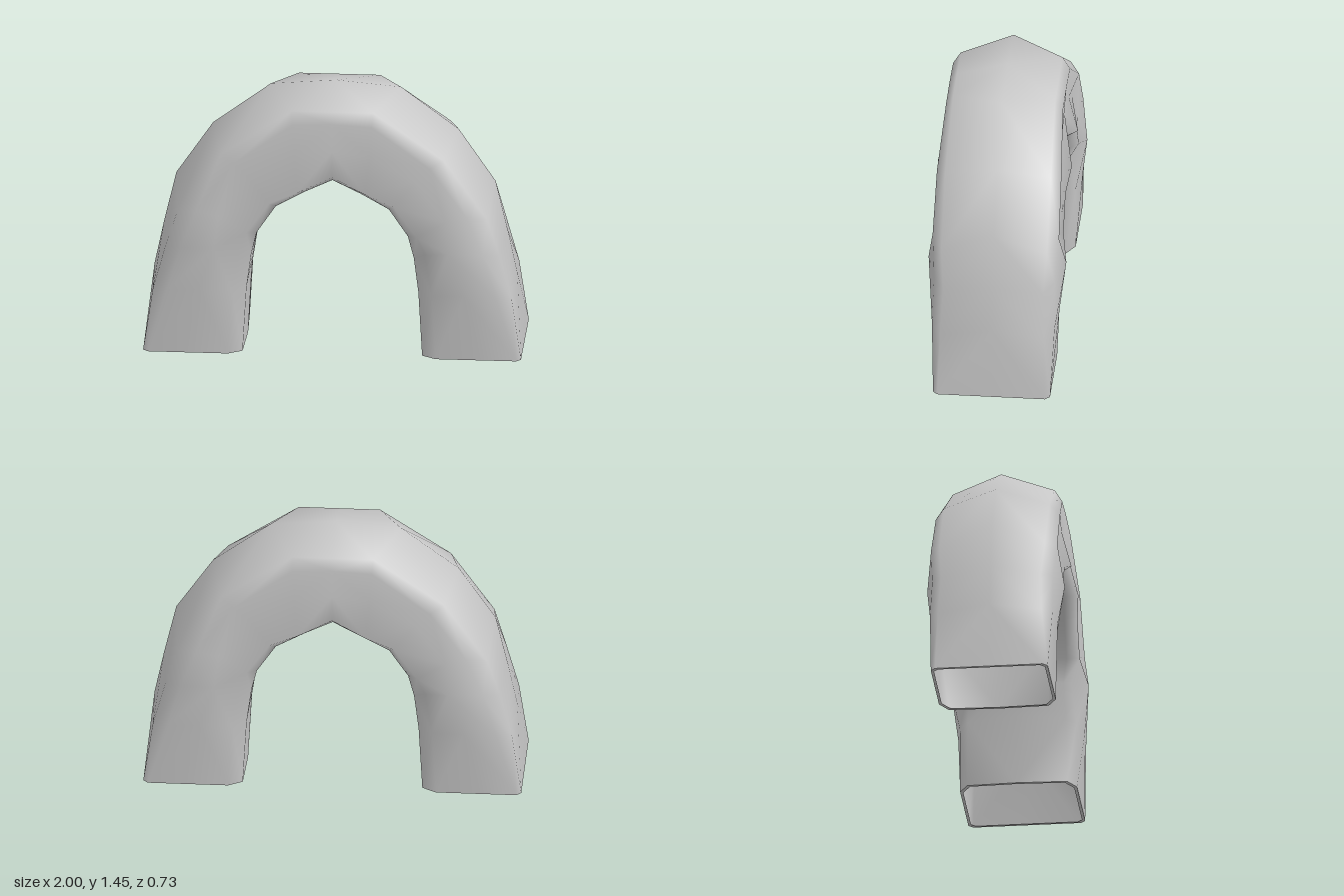
import * as THREE from 'three';

// Half-arch stations, foot to crown. Each has the outer and inner centre point [x, y]
// and the front points [x, y, z] from the outer edge round to the inner edge.
const STATIONS = [
  { o: [1, 0], i: [0.465, 0],
    side: [[1, 0, 0.285], [0.975, 0, 0.31], [0.78, 0, 0.31], [0.55, 0, 0.31], [0.475, 0, 0.265]] },
  { o: [0.96, 0.38], i: [0.445, 0.38],
    side: [[0.95, 0.34, 0.275], [0.87, 0.36, 0.325], [0.7, 0.37, 0.335], [0.53, 0.36, 0.31], [0.455, 0.36, 0.26]] },
  { o: [0.91, 0.62], i: [0.415, 0.58],
    side: [[0.885, 0.58, 0.265], [0.8, 0.6, 0.32], [0.62, 0.62, 0.365], [0.49, 0.58, 0.285], [0.43, 0.55, 0.25]] },
  { o: [0.845, 0.9], i: [0.385, 0.69],
    side: [[0.82, 0.79, 0.28], [0.715, 0.82, 0.335], [0.6, 0.78, 0.315], [0.45, 0.7, 0.335], [0.4, 0.68, 0.27]] },
  { o: [0.65, 1.19], i: [0.3, 0.81],
    side: [[0.59, 1.12, 0.28], [0.52, 1.09, 0.33], [0.44, 1, 0.3], [0.33, 0.87, 0.335], [0.3, 0.83, 0.27]] },
  { o: [0.345, 1.42], i: [0.15, 0.895],
    side: [[0.215, 1.375, 0.27], [0.21, 1.31, 0.31], [0.2, 1.14, 0.305], [0.18, 0.945, 0.355], [0.15, 0.92, 0.28]] },
  { o: [0, 1.45], i: [0, 0.925],
    side: [[0, 1.375, 0.27], [0, 1.32, 0.31], [0, 1.16, 0.3], [0, 1.02, 0.31], [0, 0.985, 0.26]] },
];

// Closed cross-section ring: outer centre, front side, inner centre, back side
function ring({ o, i, side }, mirror) {
  const at = ([x, y, z = 0], flip = 1) => new THREE.Vector3(mirror * x, y, flip * z);
  return [
    at(o),
    ...side.map(p => at(p)),
    at(i),
    ...side.slice().reverse().map(p => at(p, -1)),
  ];
}

// Joins rings into a smooth open-ended tube, splitting each quad along its raised diagonal
function loft(rings) {
  const n = rings[0].length;
  const points = rings.flat();
  const index = [];
  for (let r = 0; r < rings.length - 1; r++) {
    for (let j = 0; j < n; j++) {
      const a = r * n + j, b = r * n + (j + 1) % n, c = a + n, d = b + n;
      const [A, B, C, D] = [a, b, c, d].map(k => points[k]);
      const outward = C.clone().sub(B).cross(D.clone().sub(A));
      const rise = B.clone().add(C).sub(A).sub(D).dot(outward);
      if (rise > 0) index.push(a, c, b, b, c, d);
      else index.push(a, c, d, a, d, b);
    }
  }
  const geometry = new THREE.BufferGeometry().setFromPoints(points);
  geometry.setIndex(index);
  geometry.computeVertexNormals();
  return geometry;
}

// Narrow flat lip round the open foot
function lipGeometry(foot) {
  const cx = (STATIONS[0].o[0] + STATIONS[0].i[0]) / 2;
  const outline = foot.map(p => new THREE.Vector2(p.x, p.z));
  const shape = new THREE.Shape(outline);
  shape.holes.push(new THREE.Path(outline.map(
    p => new THREE.Vector2(cx + (p.x - cx) * 0.94, p.y * 0.95))));
  return new THREE.ShapeGeometry(shape).rotateX(Math.PI / 2);
}

export function createModel() {
  const stone = new THREE.MeshStandardMaterial({ color: 0xc6c6c6, side: THREE.DoubleSide });
  stone.name = 'grey stone';
  const model = new THREE.Group();
  model.name = 'stoneArch';

  // Arch body: one half plus its mirror image
  const half = STATIONS.map(s => ring(s, 1));
  const otherHalf = STATIONS.slice(0, -1).reverse().map(s => ring(s, -1));
  const body = new THREE.Mesh(loft([...half, ...otherHalf]), stone);
  body.name = 'archBody';
  model.add(body);

  // Foot lips
  for (const [name, turn] of [['leftFootLip', 0], ['rightFootLip', Math.PI]]) {
    const lip = new THREE.Mesh(lipGeometry(half[0]), stone);
    lip.name = name;
    lip.rotation.y = turn;
    model.add(lip);
  }
  return model;
}
